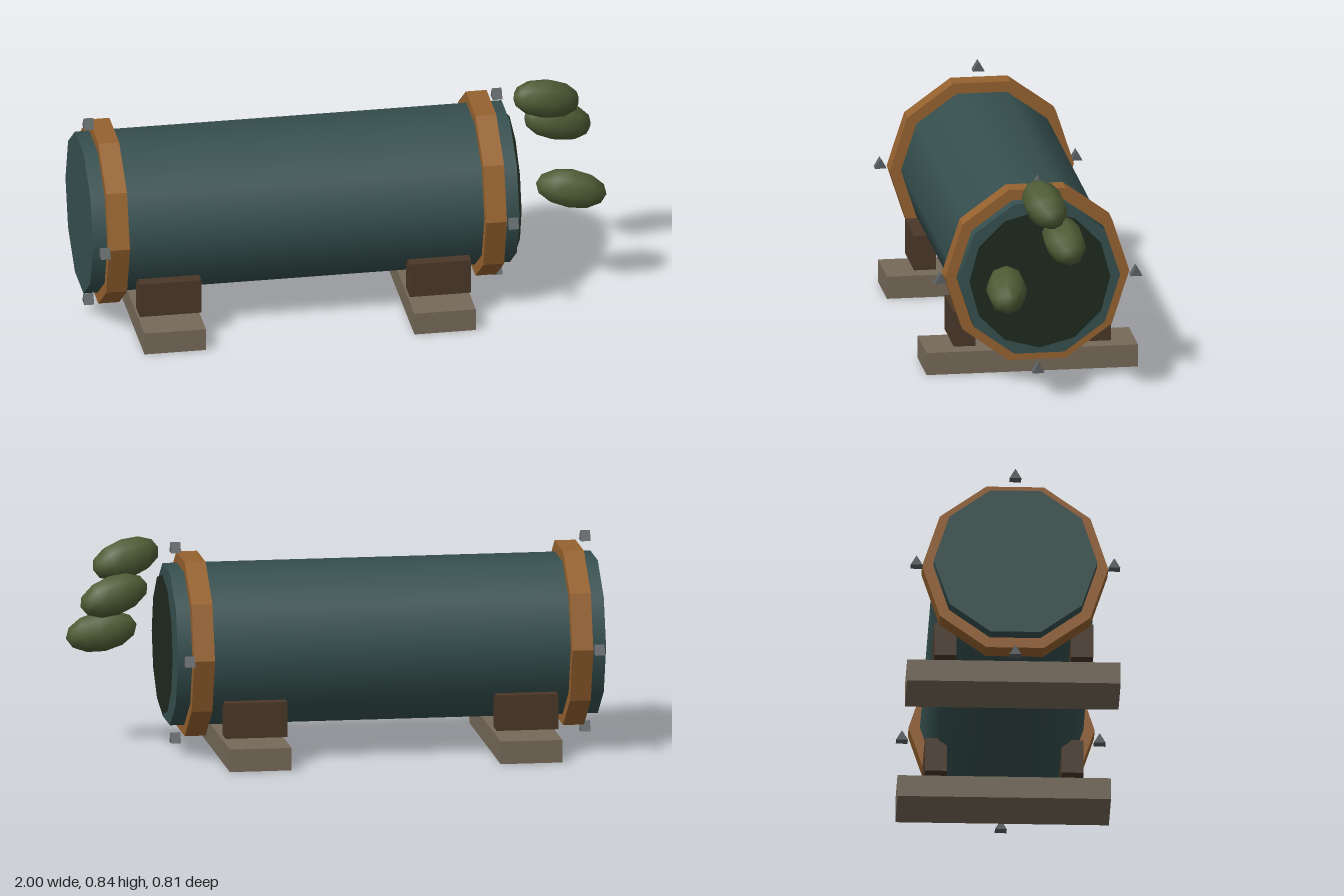
import * as THREE from 'three';

const paint = (name, color, extra = {}) =>
  Object.assign(new THREE.MeshStandardMaterial({ color, ...extra }), { name });

export function createModel() {
  const model = new THREE.Group();
  model.name = 'barrelOnStand';

  const teal = paint('teal shell', 0x36504f);
  const copper = paint('copper band', 0x96622f, { flatShading: true });
  const dark = paint('dark opening', 0x1f2a1f, { side: THREE.DoubleSide });
  const plank = paint('pale wood', 0x766959, { flatShading: true });
  const wood = paint('dark wood', 0x4a3828, { flatShading: true });
  const green = paint('leaf green', 0x4e5c35);
  const steel = paint('grey steel', 0x5c6163, { flatShading: true });

  const AXIS_Y = 0.42;
  const add = (name, geometry, material, x, y, z) => {
    const mesh = new THREE.Mesh(geometry, material);
    mesh.name = name;
    mesh.position.set(x, y, z);
    model.add(mesh);
    return mesh;
  };
  // Cylinder lying along x, with a corner on the z axis
  const lying = (radius, length, sides) =>
    new THREE.CylinderGeometry(radius, radius, length, sides).rotateZ(-Math.PI / 2);

  // Shell and the dark round opening on its +x end
  add('shell', lying(0.31, 1.64, 10), teal, -0.18, AXIS_Y, 0);
  const disc = new THREE.CircleGeometry(0.27, 12).rotateY(Math.PI / 2);
  add('opening', disc, dark, 0.655, AXIS_Y, 0);

  // Bands near both ends
  for (const x of [-0.905, 0.545]) add('band', lying(0.353, 0.08, 10), copper, x, AXIS_Y, 0);

  // Four studs around each end
  const stud = new THREE.CylinderGeometry(0.026, 0.026, 0.038, 3)
    .rotateY(Math.PI / 2).rotateZ(-Math.PI / 2);
  // Turn the triangular section so that its point is up
  stud.computeBoundingBox();
  const reach = stud.boundingBox;
  if (reach.max.y < 0.025) {
    stud.rotateX(reach.min.y < -0.025 ? Math.PI : reach.max.z > 0.025 ? -Math.PI / 2 : Math.PI / 2);
  }
  for (const x of [-0.965, 0.605]) {
    for (let i = 0; i < 4; i++) {
      const a = i * Math.PI / 2;
      add('stud', stud, steel, x, AXIS_Y + 0.368 * Math.sin(a), 0.375 * Math.cos(a));
    }
  }

  // Cross planks with a chock on either side
  for (const x of [-0.7, 0.338]) {
    add('plank', new THREE.BoxGeometry(0.236, 0.087, 0.81), plank, x, 0.0435, 0);
    for (const side of [-1, 1]) {
      add('chock', new THREE.BoxGeometry(0.236, 0.136, 0.084), wood, x, 0.176, side * 0.259);
    }
  }

  // Leaf pods floating in front of the opening: x, y, z, tilt about z, turn about y
  const pod = new THREE.SphereGeometry(1, 8, 6).rotateZ(-Math.PI / 2).scale(0.137, 0.078, 0.078);
  for (const [x, y, z, tilt, turn] of [
    [0.795, 0.755, 0.003, -0.25, 0.22],
    [0.85, 0.627, -0.064, -0.28, 0.15],
    [0.865, 0.445, 0.158, -0.2, -0.1],
  ]) {
    add('leafPod', pod, green, x, y, z).rotation.set(0, turn, tilt);
  }

  return model;
}
